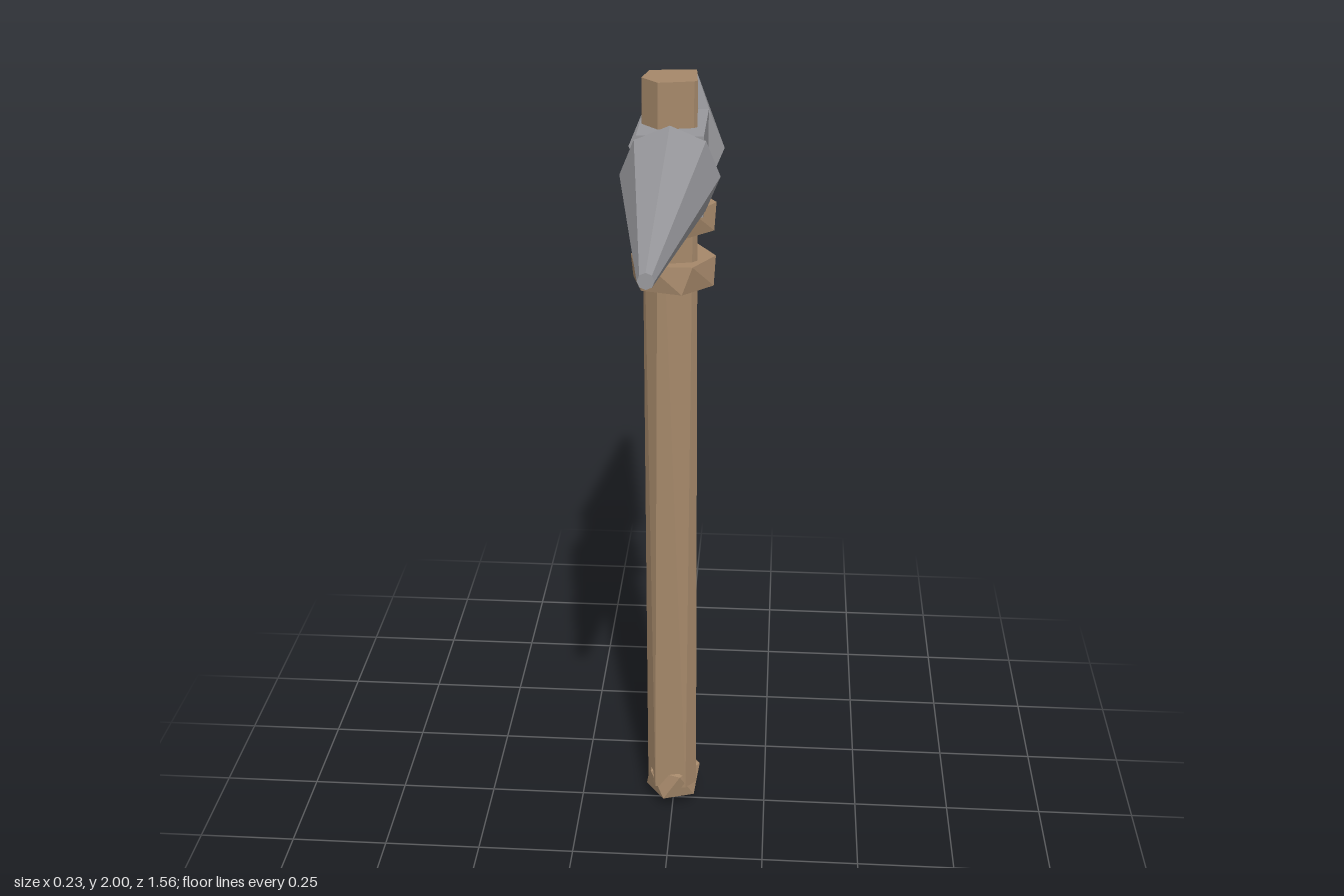
import * as THREE from 'three';
import { ConvexGeometry } from 'three/addons/geometries/ConvexGeometry.js';

const wood = new THREE.MeshStandardMaterial({ color: 0xa5886a, flatShading: true });
const metal = new THREE.MeshStandardMaterial({ color: 0x98989c, flatShading: true });

// Faceted prism between a lower and an upper outline of [x, z] points
function prism(lower, y0, upper, y1) {
  const ring = (pts, y) => pts.map(([x, z]) => new THREE.Vector3(x, y, z));
  return new ConvexGeometry([...ring(lower, y0), ...ring(upper, y1)]);
}

function hexagon(radius, turn) {
  return Array.from({ length: 6 }, (_, i) => {
    const a = turn + (i * Math.PI) / 3;
    return [radius * Math.cos(a), radius * Math.sin(a)];
  });
}

export function createModel() {
  const model = new THREE.Group();
  const add = (name, geometry, material) => {
    const mesh = new THREE.Mesh(geometry, material);
    mesh.name = name;
    model.add(mesh);
    return mesh;
  };

  // Roughly hewn shaft, its outline drifting a little from bottom to top
  const bottom = [[-0.058, -0.045], [0.052, -0.06], [0.064, 0.028], [0.037, 0.06], [-0.045, 0.058], [-0.068, 0.005]];
  const top = [[-0.057, -0.05], [0.05, -0.061], [0.057, 0.04], [0.05, 0.048], [-0.03, 0.066], [-0.07, 0.02]];
  add('handle', prism(bottom, 0.08, top, 2), wood);

  // Pommel, standing on one of its points
  const pommel = new THREE.IcosahedronGeometry(0.081, 0);
  pommel.rotateZ(-Math.atan(2 / (1 + Math.sqrt(5))));
  add('pommel', pommel, wood).position.y = 0.083;

  // Two slightly twisted bindings below the head
  [['lowerBinding', 1.515, 1.58], ['upperBinding', 1.65, 1.71]].forEach(([name, y0, y1]) => {
    add(name, prism(hexagon(0.1, 0.26), y0, hexagon(0.1, 0), y1), wood);
  });

  // Head: a central block with a long eight-sided spike at each end
  add('headBlock', new THREE.BoxGeometry(0.15, 0.185, 0.23), metal).position.y = 1.803;
  [['frontSpike', 1], ['backSpike', -1]].forEach(([name, side]) => {
    const spike = new THREE.CylinderGeometry(0.017, 0.113, 0.667, 8);
    spike.rotateX((side * Math.PI) / 2);
    add(name, spike, metal).position.set(0, 1.805, side * 0.4465);
  });

  return model;
}
